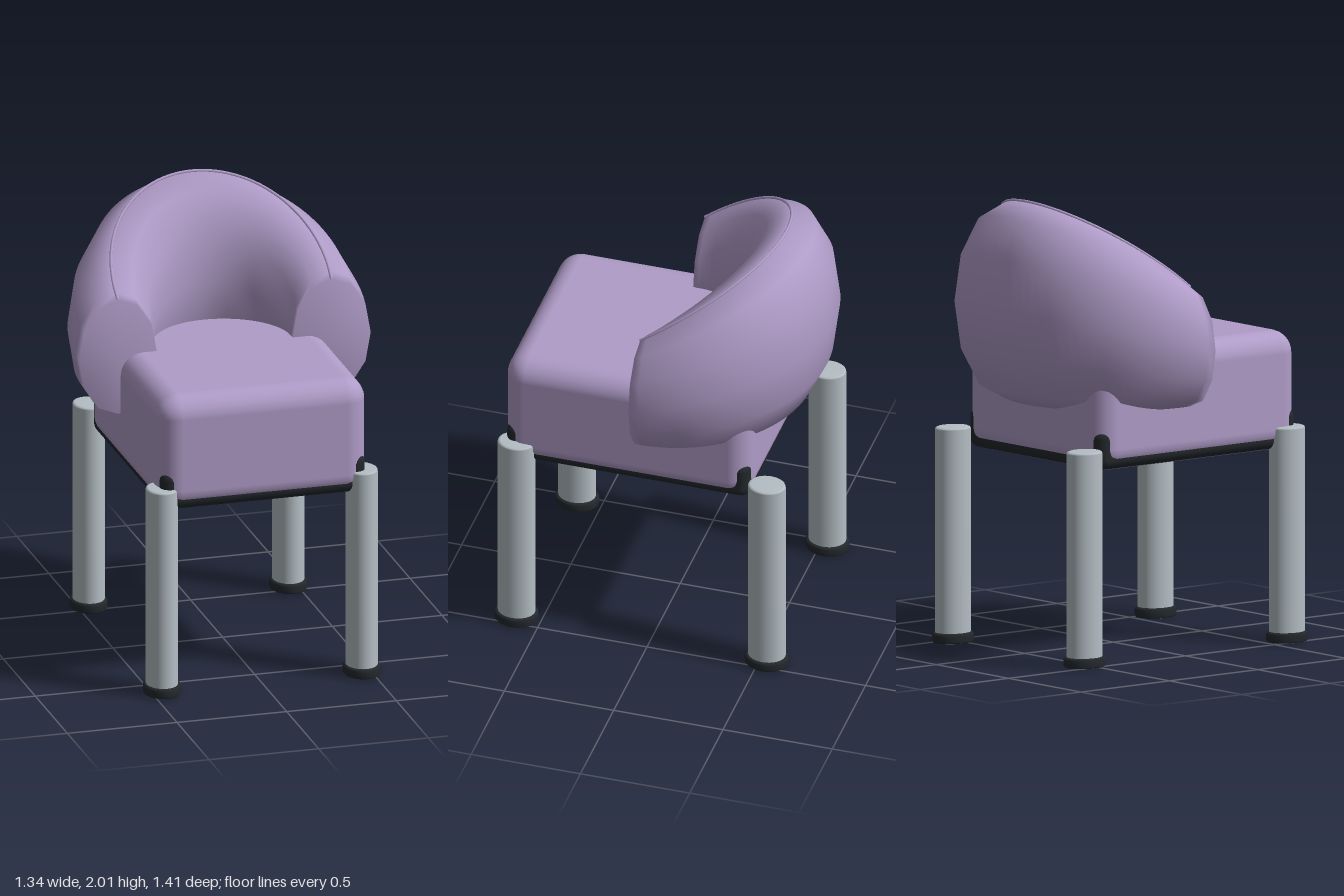
import * as THREE from 'three';
import { RoundedBoxGeometry } from 'three/addons/geometries/RoundedBoxGeometry.js';

const material = (color) => new THREE.MeshStandardMaterial({ color });
const fabric = material(0xb09cc8);
const metal = material(0xb4bec4);
const rubber = material(0x23282c);

function add(parent, name, geometry, mat, x = 0, y = 0, z = 0) {
  const mesh = new THREE.Mesh(geometry, mat);
  mesh.name = name;
  mesh.position.set(x, y, z);
  parent.add(mesh);
  return mesh;
}

// Point on the wrap-around back: theta runs left arm -> right arm, phi around the section
const ARM_Z = 0.035;
function backPoint(theta, phi, grow = 0) {
  const s = Math.sin(theta);
  const ringR = 0.487 + 0.036 * s;
  const halfW = 0.178 + 0.037 * s;
  const halfH = 0.265 + 0.185 * s;
  const r = ringR + halfW * Math.cos(phi);
  return new THREE.Vector3(
    r * Math.cos(theta),
    1.1 + halfH + (halfH + grow) * Math.sin(phi),
    ARM_Z - r * s
  );
}

// Padded back and arms: oval sections swept round a half circle, taller at the rear
function backGeometry(steps = 48, sides = 12) {
  const pos = [], index = [];
  for (let i = 0; i <= steps; i++)
    for (let j = 0; j < sides; j++)
      pos.push(...backPoint((i / steps) * Math.PI, (j / sides) * Math.PI * 2).toArray());
  const at = (i, j) => i * sides + (j % sides);
  for (let i = 0; i < steps; i++)
    for (let j = 0; j < sides; j++)
      index.push(at(i, j), at(i + 1, j), at(i, j + 1), at(i + 1, j), at(i + 1, j + 1), at(i, j + 1));
  // arm ends
  const left = pos.length / 3;
  pos.push(0.487, 1.365, ARM_Z, -0.487, 1.365, ARM_Z);
  for (let j = 0; j < sides; j++) {
    index.push(left, at(0, j), at(0, j + 1));
    index.push(left + 1, at(steps, j + 1), at(steps, j));
  }
  const geo = new THREE.BufferGeometry();
  geo.setAttribute('position', new THREE.Float32BufferAttribute(pos, 3));
  geo.setIndex(index);
  geo.computeVertexNormals();
  return geo;
}

const lathe = (points) =>
  new THREE.LatheGeometry(points.map(([r, y]) => new THREE.Vector2(r, y)), 32);

export function createModel() {
  const model = new THREE.Group();
  model.name = 'armchair';

  // Seat cushion, and the dark base that shows along its lower edge and corners
  add(model, 'seatCushion', new RoundedBoxGeometry(0.95, 0.53, 1.13, 4, 0.1), fabric, 0, 1.11, 0.105);
  add(model, 'seatBase', new RoundedBoxGeometry(0.932, 0.18, 1.112, 3, 0.045), rubber, 0, 0.945, 0.105);

  add(model, 'backrest', backGeometry(), fabric);

  // Piping along the top edge of the back
  const seam = [];
  for (let i = 0; i <= 24; i++) seam.push(backPoint((i / 24) * Math.PI, Math.PI / 2));
  add(model, 'piping', new THREE.TubeGeometry(new THREE.CatmullRomCurve3(seam), 64, 0.007, 8), fabric);

  // Oval legs, each with a dark foot ring
  const legGeo = lathe([[0, 0], [0.07, 0], [0.07, 0.003], [0.07, 0.945], [0.068, 0.951], [0.06, 0.955], [0, 0.955]]);
  const footGeo = lathe([[0.066, 0.002], [0.078, 0.002], [0.082, 0.008], [0.082, 0.036], [0.077, 0.044], [0.069, 0.046]]);
  for (const [end, z] of [['front', 0.61], ['back', -0.535]]) {
    for (const [side, x] of [['Left', 0.455], ['Right', -0.455]]) {
      const leg = new THREE.Group();
      leg.name = `${end}${side}Leg`;
      leg.position.set(x, 0, z);
      leg.scale.z = 1.2;
      add(leg, 'legPost', legGeo, metal);
      add(leg, 'footRing', footGeo, rubber);
      model.add(leg);
    }
  }
  return model;
}
